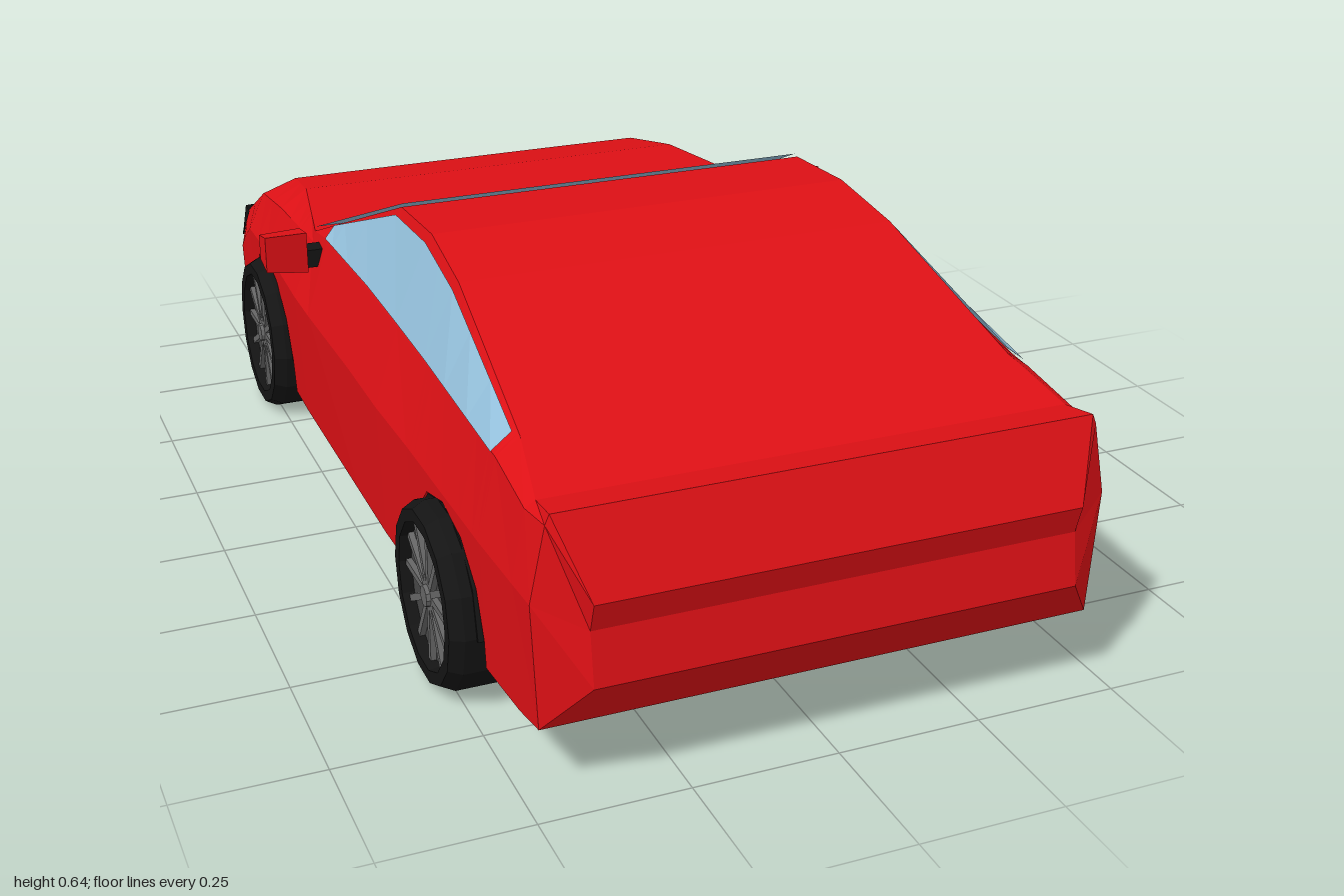
import * as THREE from 'three';

const paint = (color) => new THREE.MeshStandardMaterial({ color, flatShading: true, side: THREE.DoubleSide });
const RED = paint(0xdd1015), GLASS = paint(0x93bfda), BLACK = paint(0x141414),
  GREY = paint(0x3c3c3c), RIM = paint(0x484848), SPOKE = paint(0x666666);

const lerp = THREE.MathUtils.lerp;
const WHEELS = [{ name: 'rear', z: 0.557, x: 0.385 }, { name: 'front', z: -0.63, x: 0.378 }];
const ARCH = 0.17, AXLE = 0.16;

// Body stations: z, floor y, sill x, waist x, waist y, belt x, belt y, top x, top y
const KEYS = [
  [0.94, 0.125, 0.475, 0.487, 0.34, 0.462, 0.465, 0.455, 0.482],
  [0.87, 0.118, 0.48, 0.49, 0.34, 0.468, 0.46, 0.45, 0.47],
  [0.735, 0.112, 0.485, 0.495, 0.34, 0.465, 0.48, 0.425, 0.508],
  [0.37, 0.09, 0.49, 0.5, 0.34, 0.46, 0.483, 0.4, 0.62],
  [0.2, 0.09, 0.495, 0.505, 0.34, 0.46, 0.485, 0.392, 0.645],
  [0.02, 0.09, 0.495, 0.505, 0.34, 0.46, 0.487, 0.392, 0.635],
  [-0.25, 0.09, 0.495, 0.51, 0.34, 0.464, 0.49, 0.442, 0.518],
  [-0.36, 0.09, 0.495, 0.51, 0.34, 0.466, 0.45, 0.46, 0.47],
  [-0.63, 0.09, 0.49, 0.502, 0.34, 0.465, 0.43, 0.41, 0.465],
  [-0.81, 0.09, 0.487, 0.497, 0.33, 0.462, 0.405, 0.39, 0.43],
  [-0.92, 0.09, 0.485, 0.495, 0.29, 0.465, 0.36, 0.38, 0.388],
  [-1, 0.09, 0.485, 0.492, 0.25, 0.472, 0.325, 0.375, 0.35],
];

function sample(z) {
  let i = 0;
  while (i < KEYS.length - 2 && z < KEYS[i + 1][0]) i++;
  const a = KEYS[i], b = KEYS[i + 1], t = (z - a[0]) / (b[0] - a[0]);
  return a.map((v, j) => lerp(v, b[j], t));
}

// The nose sweeps back towards its corners
const sweep = (x, z) => z + 0.08 * (x / 0.495) ** 4 * THREE.MathUtils.clamp((-z - 0.8) / 0.2, 0, 1);

// Half outline from the floor centre, round the wheel arch and side, to the roof centre
function halfRing(z, archY) {
  const [, fy, sx, wx, wy, bx, by, tx, ty] = sample(z);
  const ay = archY ?? fy;
  const ax = lerp(sx, wx, (ay - fy) / (wy - fy));
  return [[0, fy], [0.2, fy], [0.375, fy], [0.375, ay], [ax, ay], [wx, wy], [bx, by], [tx, ty], [0.2, ty], [0, ty]]
    .map(([x, y]) => [x, y, sweep(x, z)]);
}

// Collects quads, optionally with their mirror images, into one mesh
function quadMesh(name, material, quads, mirrored = false) {
  const pos = [];
  const put = (a, b, c, d) => pos.push(...a, ...b, ...c, ...a, ...c, ...d);
  const flip = ([x, y, z]) => [-x, y, z];
  for (const [a, b, c, d] of quads) {
    put(a, b, c, d);
    if (mirrored) put(flip(a), flip(d), flip(c), flip(b));
  }
  const g = new THREE.BufferGeometry();
  g.setAttribute('position', new THREE.Float32BufferAttribute(pos, 3));
  g.computeVertexNormals();
  const mesh = new THREE.Mesh(g, material);
  mesh.name = name;
  return mesh;
}

function bodyShell() {
  const stations = KEYS.map((k) => [k[0]])
    .filter(([z]) => WHEELS.every((w) => Math.abs(z - w.z) > ARCH));
  for (const w of WHEELS) {
    for (let i = 0; i <= 6; i++) {
      const a = (i / 6) * Math.PI;
      stations.push([w.z + ARCH * Math.cos(a), AXLE + 0.165 * Math.sin(a)]);
    }
    stations.push([w.z + ARCH + 1e-4], [w.z - ARCH - 1e-4]);
  }
  stations.sort((a, b) => b[0] - a[0]);
  const rings = stations.map(([z, y]) => halfRing(z, y));
  // bevelled tail outline
  rings.unshift([[0, 0.215, 1], [0.2, 0.215, 1], [0.375, 0.215, 1], [0.375, 0.215, 1], [0.41, 0.215, 1],
    [0.41, 0.305, 0.985], [0.41, 0.355, 1], [0.41, 0.355, 1], [0.2, 0.355, 1], [0, 0.355, 1]]);
  const quads = [];
  for (let k = 0; k < rings.length - 1; k++) {
    const p = rings[k], q = rings[k + 1];
    for (let i = 0; i < 9; i++) quads.push([p[i], q[i], q[i + 1], p[i + 1]]);
  }
  // nose face
  const n = rings[rings.length - 1];
  for (let i = 0; i < 4; i++) quads.push([n[i], n[9 - i], n[8 - i], n[i + 1]]);
  // creased tail panel
  const rows = [[0.215, 1], [0.305, 0.985], [0.355, 1]];
  for (let i = 0; i < 2; i++) {
    const [y0, z0] = rows[i], [y1, z1] = rows[i + 1];
    quads.push([[0, y0, z0], [0.41, y0, z0], [0.41, y1, z1], [0, y1, z1]]);
  }
  return quadMesh('body', RED, quads, true);
}

function sideWindows() {
  const edge = [0.72, 0.6, 0.48, 0.37, 0.28, 0.2, 0.02, -0.1, -0.2, -0.25].map((z) => {
    const [, , , , , bx, by, tx, ty] = sample(z);
    const at = (t) => [lerp(bx, tx, t) + 0.005, lerp(by, ty, t) + 0.002, z];
    return [at(0.04), at(0.9)];
  });
  const quads = edge.slice(1).map((e, i) => [edge[i][0], e[0], e[1], edge[i][1]]);
  return quadMesh('sideWindows', GLASS, quads, true);
}

// A band wrapped round the nose between two heights
function noseBand(name, material, xs, y0, y1, lift = 0.008) {
  const at = (x, y) => [x, y, sweep(x, -1) - lift];
  const quads = xs.slice(1).map((x, i) => [at(xs[i], y0), at(xs[i], y1), at(x, y1), at(x, y0)]);
  return quadMesh(name, material, quads, true);
}

function wheel(name) {
  const g = new THREE.Group();
  g.name = name;
  const add = (part, geo, mat) => {
    const m = new THREE.Mesh(geo, mat);
    m.name = part;
    g.add(m);
    return m;
  };
  const profile = [[0, 0], [0.14, 0], [0.16, 0.02], [0.16, 0.13], [0.148, 0.153], [0.126, 0.153], [0.122, 0.125]]
    .map(([r, h]) => new THREE.Vector2(r, h));
  add('tyre', new THREE.LatheGeometry(profile, 14).rotateZ(-Math.PI / 2), BLACK);
  add('rim', new THREE.CylinderGeometry(0.124, 0.124, 0.02, 14).rotateZ(Math.PI / 2).translate(0.122, 0, 0), RIM);
  add('hub', new THREE.CylinderGeometry(0.018, 0.022, 0.02, 10).rotateZ(-Math.PI / 2).translate(0.139, 0, 0), SPOKE);
  for (let i = 0; i < 12; i++) {
    add('spoke', new THREE.BoxGeometry(0.012, 0.108, 0.012).translate(0.136, 0.066, 0), SPOKE)
      .rotation.x = (i / 12) * Math.PI * 2;
  }
  return g;
}

function mirror() {
  const g = new THREE.Group();
  const housing = new THREE.BoxGeometry(0.08, 0.07, 0.06);
  const p = housing.attributes.position;
  // tapers inwards and forwards
  for (let i = 0; i < p.count; i++) {
    const inner = p.getX(i) < 0;
    if (p.getZ(i) < 0) p.setY(i, p.getY(i) * 0.7);
    if (inner && p.getY(i) < 0) p.setY(i, p.getY(i) * 1.3);
    if (!inner) p.setZ(i, p.getZ(i) * 0.85 + 0.004);
  }
  const shell = new THREE.Mesh(housing, RED);
  shell.name = 'mirrorHousing';
  shell.position.set(0.543, 0.473, -0.283);
  const arm = new THREE.Mesh(new THREE.BoxGeometry(0.08, 0.035, 0.04), BLACK);
  arm.name = 'mirrorArm';
  arm.position.set(0.485, 0.448, -0.29);
  g.add(shell, arm);
  return g;
}

export function createModel() {
  const car = new THREE.Group();
  car.name = 'car';
  car.add(bodyShell(), sideWindows());

  // windscreen
  car.add(quadMesh('windscreen', GLASS, [
    [[-0.458, 0.477, -0.365], [-0.389, 0.64, 0.016], [0.389, 0.64, 0.016], [0.458, 0.477, -0.365]],
  ]));

  // nose details
  car.add(noseBand('upperGrille', GREY, [0, 0.2, 0.31], 0.285, 0.328));
  car.add(noseBand('lowerGrille', GREY, [0, 0.2, 0.3, 0.375], 0.115, 0.175));
  car.add(noseBand('cornerVents', BLACK, [0.385, 0.43, 0.475], 0.105, 0.175));
  car.add(quadMesh('headlights', BLACK, [
    [[0.37, 0.275, -0.984], [0.37, 0.325, -0.984], [0.474, 0.335, -0.944], [0.486, 0.27, -0.938]],
    [[0.486, 0.27, -0.938], [0.474, 0.335, -0.944], [0.484, 0.35, -0.86], [0.5, 0.3, -0.87]],
  ], true));

  for (const side of [1, -1]) {
    const label = side > 0 ? 'Left' : 'Right';
    const m = mirror();
    m.name = 'mirror' + label;
    m.scale.x = side;
    car.add(m);
    for (const w of WHEELS) {
      const tyre = wheel(w.name + 'Wheel' + label);
      tyre.position.set(side * w.x, AXLE, w.z);
      if (side < 0) tyre.rotation.y = Math.PI;
      // dark filler between tyre and arch
      const liner = new THREE.Mesh(
        new THREE.CylinderGeometry(0.166, 0.166, 0.112, 6, 1, false, 0, Math.PI).rotateZ(Math.PI / 2), BLACK);
      liner.name = w.name + 'ArchLiner' + label;
      liner.position.set(side * 0.44, AXLE - 0.003, w.z);
      car.add(tyre, liner);
    }
  }
  return car;
}
